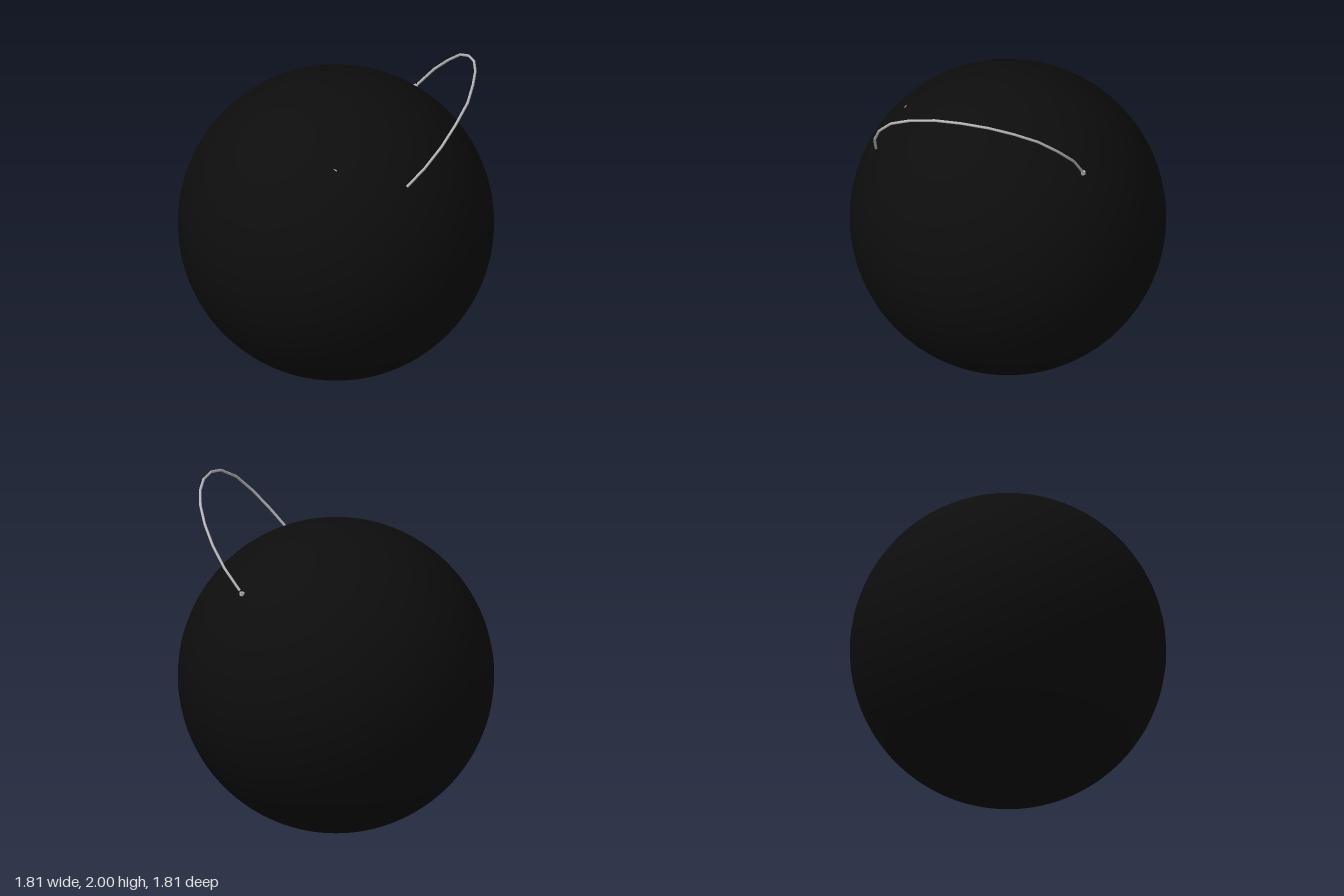
import * as THREE from 'three';

export function createModel() {
  const group = new THREE.Group();
  const black = new THREE.MeshStandardMaterial({ color: 0x0d0d0d });
  black.name = 'black';
  const grey = new THREE.MeshStandardMaterial({ color: 0xb8b8b8 });
  grey.name = 'light grey';

  const add = (name, geometry, material, x = 0, y = 0, z = 0) => {
    const mesh = new THREE.Mesh(geometry, material);
    mesh.name = name;
    mesh.position.set(x, y, z);
    group.add(mesh);
    return mesh;
  };

  // Ball standing on the ground
  const R = 0.907;
  add('ball', new THREE.SphereGeometry(R, 64, 48), black, 0, R, 0);

  // Thin wire arching over the upper front left of the ball
  const path = new THREE.CatmullRomCurve3([
    [-0.055, 1.547, 0.812], [0.058, 1.696, 0.872], [0.17, 1.818, 0.881],
    [0.288, 1.916, 0.847], [0.403, 1.97, 0.775], [0.5, 1.992, 0.668],
    [0.592, 1.99, 0.552], [0.662, 1.968, 0.431], [0.716, 1.922, 0.3],
    [0.75, 1.849, 0.155], [0.752, 1.759, 0.039], [0.728, 1.653, -0.073],
    [0.668, 1.535, -0.153],
  ].map((p) => new THREE.Vector3(...p)));
  add('wire', new THREE.TubeGeometry(path, 12, 0.008, 8), grey);

  // Small block where the wire meets the ball
  add('wireAnchor', new THREE.BoxGeometry(0.022, 0.022, 0.022), grey, 0.658, 1.517, -0.163);

  // Tiny stud barely breaking the ball's surface
  const stud = add('stud', new THREE.BoxGeometry(0.02, 0.02, 0.02), grey, -0.328, 1.585, 0.485);
  stud.rotation.set(0.3, 0.4, 0);

  return group;
}
